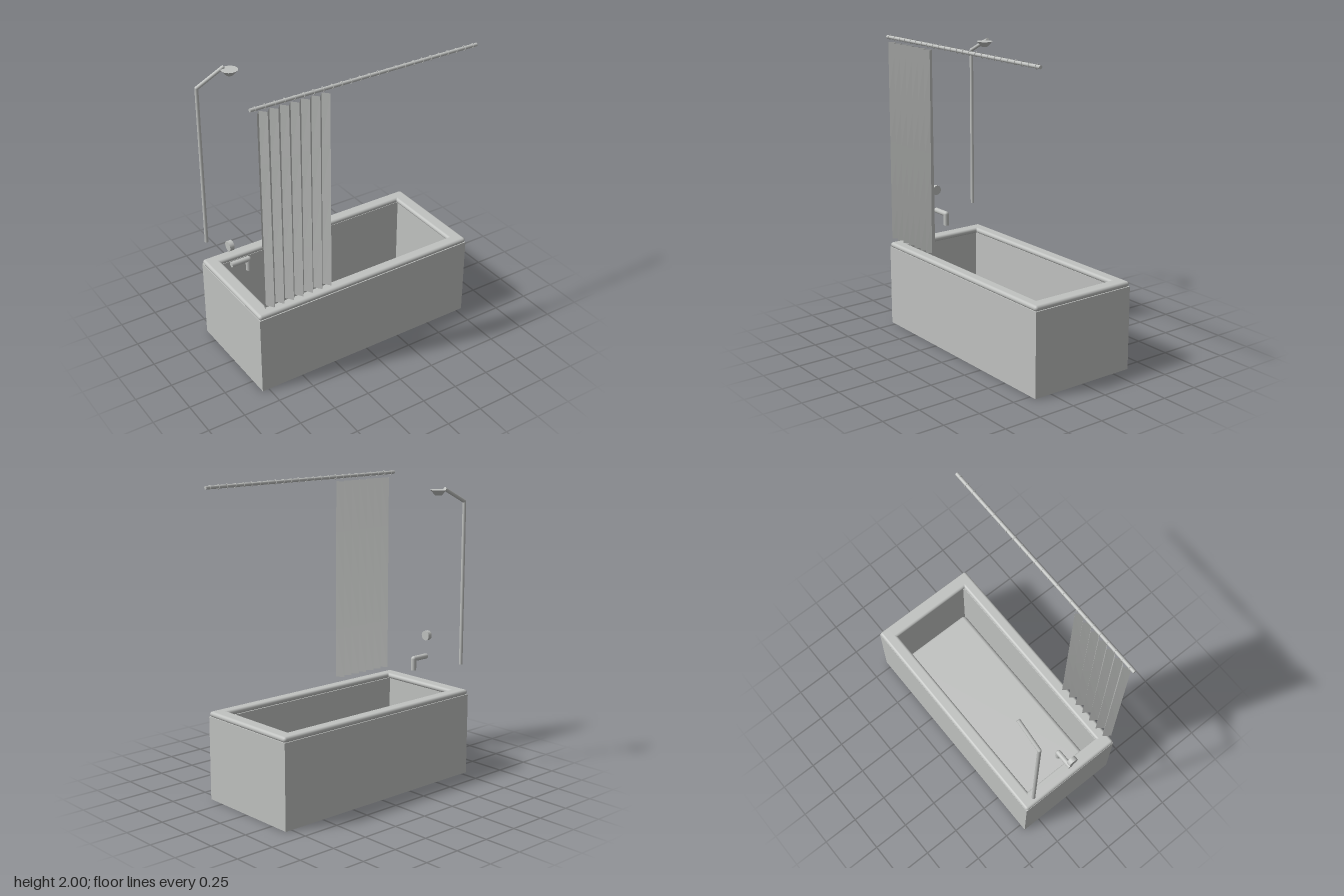
import * as THREE from 'three';
import { RoundedBoxGeometry } from 'three/addons/geometries/RoundedBoxGeometry.js';

export function createModel() {
  const model = new THREE.Group();
  model.name = 'bathtubWithShower';
  const grey = new THREE.MeshStandardMaterial({ color: 0xc0c2c0 });
  grey.name = 'grey';
  const greySheet = grey.clone(); // same colour for the thin curtain
  greySheet.name = 'grey sheet';
  greySheet.side = THREE.DoubleSide;
  greySheet.flatShading = true;

  const add = (name, geometry, x = 0, y = 0, z = 0, material = grey) => {
    const mesh = new THREE.Mesh(geometry, material);
    mesh.name = name;
    mesh.position.set(x, y, z);
    model.add(mesh);
    return mesh;
  };
  // straight round bar between two points
  const bar = (name, a, b, radius, sides = 20) => {
    const from = new THREE.Vector3(...a), to = new THREE.Vector3(...b);
    const dir = to.clone().sub(from);
    const mesh = add(name, new THREE.CylinderGeometry(radius, radius, dir.length(), sides));
    mesh.position.copy(from).add(to).multiplyScalar(0.5);
    mesh.quaternion.setFromUnitVectors(new THREE.Vector3(0, 1, 0), dir.normalize());
    return mesh;
  };

  const HX = 0.795, HZ = 0.372, WALL = 0.08;

  // tub walls: a rectangular ring, open top and bottom
  const rect = (path, hx, hz) => {
    path.moveTo(-hx, -hz);
    path.lineTo(hx, -hz);
    path.lineTo(hx, hz);
    path.lineTo(-hx, hz);
    path.closePath();
    return path;
  };
  const ring = rect(new THREE.Shape(), HX, HZ);
  ring.holes.push(rect(new THREE.Path(), HX - WALL, HZ - WALL));
  const walls = new THREE.ExtrudeGeometry(ring, { depth: 0.55, bevelEnabled: false });
  walls.rotateX(-Math.PI / 2);
  add('tubWalls', walls, 0, 0, -0.002);

  // basin floor, set slightly back and just above the ground
  add('basinFloor', new RoundedBoxGeometry(1.42, 0.062, 0.584, 4, 0.03), 0, 0.053, -0.008);

  // rounded rim
  for (const [z, width] of [[-0.332, 0.085], [0.331, 0.08]]) {
    add('longRim', new RoundedBoxGeometry(HX * 2, 0.036, width, 5, 0.018), 0, 0.565, z);
  }
  for (const s of [-1, 1]) {
    add('endRim', new RoundedBoxGeometry(0.094, 0.036, HZ * 2, 5, 0.018), s * 0.748, 0.565, -0.002);
  }

  // curtain rod with thin rings
  const rodY = 1.984, rodZ = 0.35;
  bar('curtainRod', [-HX, rodY, rodZ], [HX, rodY, rodZ], 0.011);
  for (let i = -12; i <= 12; i++) {
    const hoop = add('curtainRing', new THREE.TorusGeometry(0.0135, 0.0025, 8, 20), i * 0.0635, rodY, rodZ);
    hoop.rotation.y = Math.PI / 2;
  }

  // zigzag curtain, a little deeper at the hem
  const folds = 14;
  const curtain = new THREE.PlaneGeometry(0.482, 1.335, folds, 4);
  const p = curtain.attributes.position;
  for (let i = 0; i < p.count; i++) {
    const front = (i % (folds + 1)) % 2 === 0;
    const drop = 0.5 - p.getY(i) / 1.335;
    p.setZ(i, front ? 0.367 + 0.007 * drop : 0.328 - 0.002 * drop);
  }
  curtain.computeVertexNormals();
  add('curtain', curtain, -0.519, 1.286, 0, greySheet);

  // shower pipe, arm and head
  const elbow = [-0.783, 1.84, -0.315];
  bar('showerPipe', [-0.783, 0.75, -0.315], elbow, 0.012);
  bar('showerArm', elbow, [-0.595, 1.933, -0.315], 0.012);
  add('pipeElbow', new THREE.SphereGeometry(0.012, 16, 10), ...elbow);
  add('showerHead', new THREE.CylinderGeometry(0.053, 0.022, 0.035, 32), -0.577, 1.908, -0.277);

  // tap handle and spout
  bar('tapHandle', [-HX, 0.895, 0], [-0.765, 0.895, 0], 0.033, 32);
  bar('spoutPipe', [-0.777, 0.75, 0], [-0.656, 0.75, 0], 0.018);
  bar('spoutOutlet', [-0.656, 0.75, 0], [-0.656, 0.67, 0], 0.018);
  add('spoutElbow', new THREE.SphereGeometry(0.018, 20, 12), -0.656, 0.75, 0);

  return model;
}
